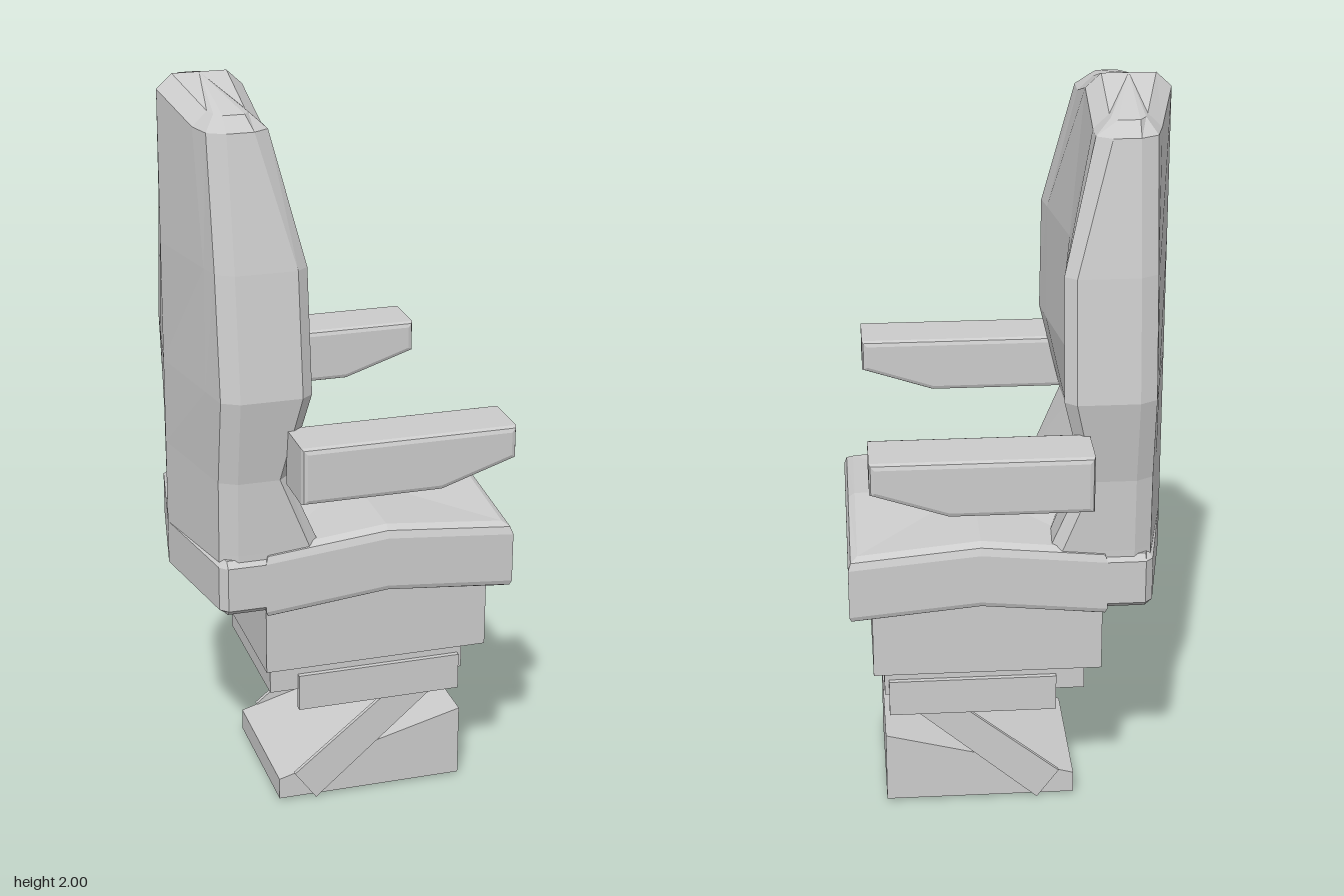
import * as THREE from 'three';

const material = new THREE.MeshStandardMaterial({ color: 0xcccccc, flatShading: true });

function addMesh(parent, name, geometry) {
  const mesh = new THREE.Mesh(geometry, material);
  mesh.name = name;
  parent.add(mesh);
  return mesh;
}

// Skin rings of [x, y, z] (bottom to top, counterclockwise from above) and cap both ends
function loft(rings, bottomCentre, topCentre) {
  const pos = [];
  const n = rings[0].length;
  const tri = (a, b, c) => pos.push(...a, ...b, ...c);
  for (let j = 0; j < n; j++) {
    const k = (j + 1) % n;
    for (let i = 0; i < rings.length - 1; i++) {
      const lo = rings[i], hi = rings[i + 1];
      tri(lo[j], lo[k], hi[k]);
      tri(lo[j], hi[k], hi[j]);
    }
    tri(bottomCentre, rings[0][k], rings[0][j]);
    const top = rings[rings.length - 1];
    tri(topCentre, top[j], top[k]);
  }
  const g = new THREE.BufferGeometry();
  g.setAttribute('position', new THREE.Float32BufferAttribute(pos, 3));
  g.computeVertexNormals();
  return g;
}

// Side profile in x/y, extruded across z from z0 to z1
function extrude(points, z0, z1, bevel = 0) {
  const shape = new THREE.Shape(points.map(p => new THREE.Vector2(...p)));
  const g = new THREE.ExtrudeGeometry(shape, {
    depth: z1 - z0 - 2 * bevel, bevelEnabled: bevel > 0, bevelSize: bevel,
    bevelThickness: bevel, bevelOffset: -bevel, bevelSegments: 2,
  });
  return g.translate(0, 0, z0 + bevel);
}

function box(x0, x1, y0, y1, halfZ) {
  return new THREE.BoxGeometry(x1 - x0, y1 - y0, 2 * halfZ)
    .translate((x0 + x1) / 2, (y0 + y1) / 2, 0);
}

// Half ring on the -z side, front centre to rear centre, mirrored to a full ring
function mirrorRing(half) {
  const other = half.slice(1, -1).reverse().map(([x, y, z]) => [x, y, -z]);
  return [...half, ...other];
}

function backrestRing({ y, w, side, edge, mid, midZ, centre, rise = 0, inset = 0 }) {
  const e = w - 0.025;
  const rear = -0.43 + inset, rearEdge = -0.365 + inset * 0.7;
  const t = midZ / e;
  return mirrorRing([
    [centre, y + rise, 0],
    [mid, y, -midZ],
    [edge, y, -e],
    [side, y, -w],
    [-0.32, y, -w],
    [rearEdge, y, -e],
    [rear + (rearEdge - rear) * t, y, -midZ],
    [rear, y + rise, 0],
  ]);
}

function createBackrest() {
  const rings = [
    { y: 0.76, w: 0.33, side: -0.13, edge: -0.1, mid: -0.1, midZ: 0.22, centre: -0.16 },
    { y: 0.82, w: 0.33, side: -0.13, edge: -0.1, mid: -0.105, midZ: 0.22, centre: -0.16 },
    { y: 1.02, w: 0.335, side: -0.21, edge: -0.185, mid: -0.19, midZ: 0.18, centre: -0.2 },
    { y: 1.25, w: 0.375, side: -0.16, edge: -0.13, mid: -0.14, midZ: 0.26, centre: -0.175 },
    { y: 1.57, w: 0.335, side: -0.16, edge: -0.13, mid: -0.14, midZ: 0.25, centre: -0.175 },
    { y: 1.908, w: 0.272, side: -0.25, edge: -0.21, mid: -0.21, midZ: 0.18, centre: -0.21, rise: 0.055 },
    { y: 1.945, w: 0.238, side: -0.265, edge: -0.25, mid: -0.25, midZ: 0.18, centre: -0.25, rise: 0.055, inset: 0.04 },
  ].map(backrestRing);
  return loft(rings, [-0.28, 0.76, 0], [-0.32, 2.0, 0]);
}

// Cushion: edge midpoints sit higher than the corners
function createCushion() {
  const ring = (inset, y) => {
    const a = -0.25 + inset, b = 0.425 - inset, m = 0.08, w = 0.34 - inset;
    const r = 0.032;
    return [
      [b, y + r, 0], [b, y, -w], [m, y + r, -w], [a, y, -w],
      [a, y + r, 0], [a, y, w], [m, y + r, w], [b, y, w],
    ];
  };
  return loft(
    [ring(0.02, 0.635), ring(0.005, 0.642), ring(0, 0.655), ring(0, 0.79), ring(0.007, 0.81), ring(0.025, 0.822)],
    [0.08, 0.665, 0], [0.08, 0.855, 0]);
}

// Band behind the cushion that holds the backrest, with a V-shaped rear
function createCollar() {
  const ring = (inset, y) => mirrorRing([
    [-0.22, y, 0], [-0.22, y, -0.34 + inset], [-0.35, y, -0.34 + inset],
    [-0.37 + inset, y, -0.32 + inset], [-0.43 + inset, y, 0],
  ]);
  return loft([ring(0.015, 0.655), ring(0, 0.67), ring(0, 0.79), ring(0.015, 0.807)],
    [-0.3, 0.655, 0], [-0.3, 0.807, 0]);
}

export function createModel() {
  const group = new THREE.Group();
  group.name = 'suspensionSeat';
  const seat = new THREE.Group();
  seat.name = 'seatBody';
  seat.position.z = 0.004;
  group.add(seat);

  // Floor wedge and housing boxes
  addMesh(seat, 'baseWedge', extrude(
    [[-0.182, 0.01], [0.335, 0.01], [0.335, 0.212], [0.08, 0.145], [-0.182, 0.07]], -0.203, 0.203));
  addMesh(seat, 'suspensionBox', box(-0.207, 0.335, 0.345, 0.47, 0.208));
  addMesh(seat, 'seatPan', box(-0.242, 0.365, 0.46, 0.68, 0.305));

  // Slanted links and slide rails on both sides
  const link = [[-0.08, 0.003], [0.255, 0.295], [0.255, 0.345], [0.18, 0.345], [-0.14, 0.085]];
  const rail = [[-0.13, 0.288], [0.323, 0.288], [0.323, 0.39], [-0.13, 0.39]];
  for (const s of [1, -1]) {
    const span = (a, b) => (s > 0 ? [a, b] : [-b, -a]);
    addMesh(seat, 'suspensionLink', extrude(link, ...span(0.2, 0.212)));
    addMesh(seat, 'slideRail', extrude(rail, ...span(0.202, 0.222)));
  }

  // Upholstery
  addMesh(seat, 'seatCushion', createCushion());
  addMesh(seat, 'backCollar', createCollar());
  addMesh(seat, 'backrest', createBackrest());

  // Armrests with a tapered front underside
  const arm = [[-0.195, 1.01], [0.17, 1.01], [0.367, 1.075], [0.367, 1.16], [-0.195, 1.16]];
  addMesh(group, 'leftArmrest', extrude(arm, 0.33, 0.495, 0.014));
  addMesh(group, 'rightArmrest', extrude(arm, -0.495, -0.33, 0.014));
  return group;
}
